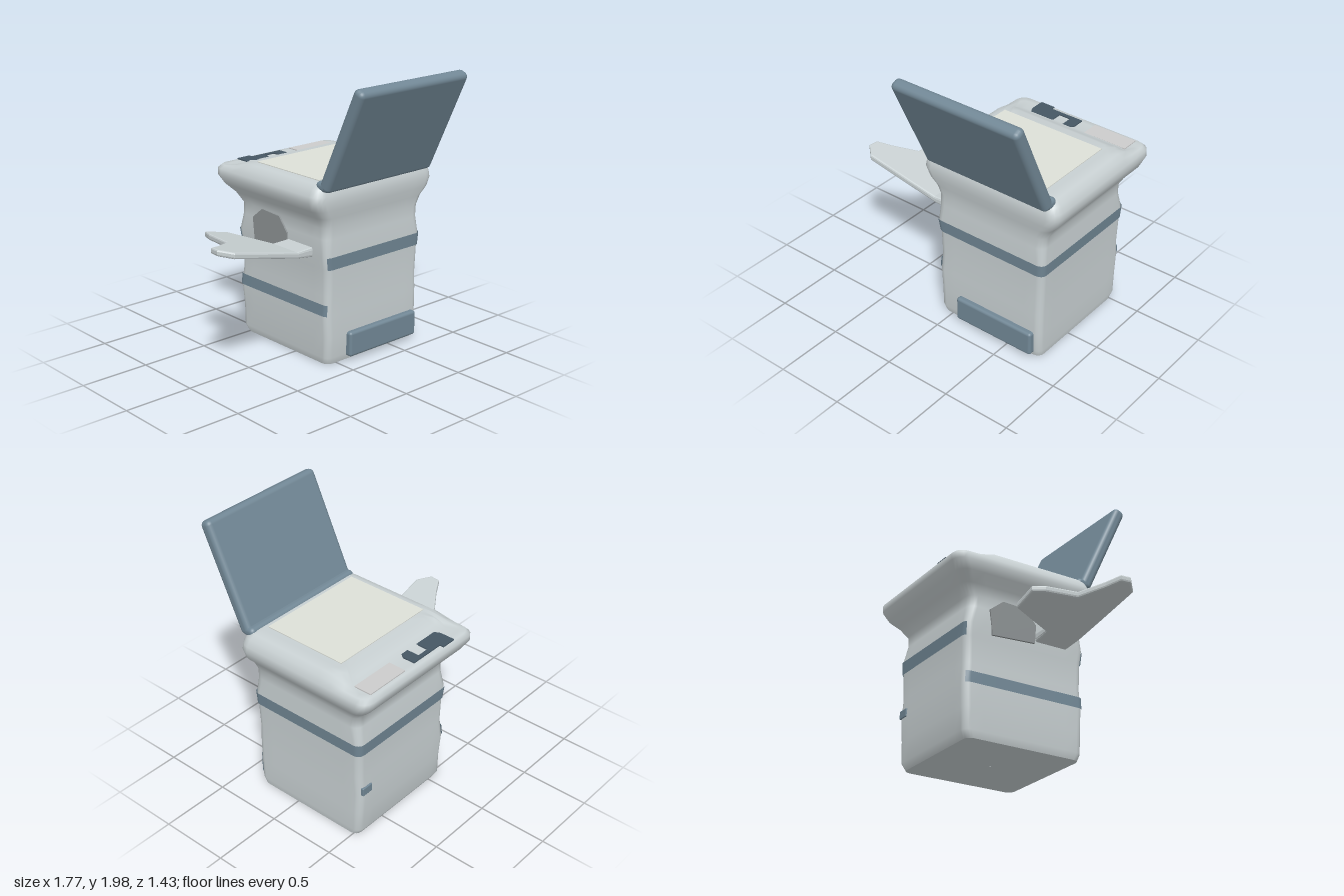
import * as THREE from 'three';
import { RoundedBoxGeometry } from 'three/addons/geometries/RoundedBoxGeometry.js';

const BODY = 0xc8d0d2, BLUE = 0x718795, DARK = 0x465764;
const mat = (color) => new THREE.MeshStandardMaterial({ color, side: THREE.DoubleSide });

// Rounded rectangle in xz with points along its sides; starts at the +x +z corner.
const CORNER = 5, SIDE = 8, STEP = CORNER + SIDE, COUNT = STEP * 4;
function ring(x0, x1, z0, z1, r) {
  const arc = [];
  [[x1 - r, z1 - r], [x0 + r, z1 - r], [x0 + r, z0 + r], [x1 - r, z0 + r]].forEach(([cx, cz], k) => {
    for (let i = 0; i < CORNER; i++) {
      const a = (k + i / (CORNER - 1)) * Math.PI / 2;
      arc.push([cx + r * Math.cos(a), cz + r * Math.sin(a)]);
    }
  });
  const pts = [];
  arc.forEach((p, i) => {
    pts.push(p);
    if (i % CORNER !== CORNER - 1) return;
    const q = arc[(i + 1) % arc.length];
    for (let s = 1; s <= SIDE; s++) {
      const t = s / (SIDE + 1);
      pts.push([p[0] + (q[0] - p[0]) * t, p[1] + (q[1] - p[1]) * t]);
    }
  });
  return pts;
}

// Skin over levels [y, x0, x1, z0, z1, r]; from/span pick an open part of each ring.
function loft(levels, { from = 0, span = COUNT, shape = (x, y) => y } = {}) {
  const pos = [], idx = [], closed = span === COUNT;
  const n = closed ? COUNT : span + 1;
  for (const [y, x0, x1, z0, z1, r] of levels) {
    const pts = ring(x0, x1, z0, z1, r);
    for (let i = 0; i < n; i++) {
      const [x, z] = pts[(from + i) % COUNT];
      pos.push(x, shape(x, y, z), z);
    }
  }
  for (let j = 0; j < levels.length - 1; j++) {
    for (let i = 0; i < span; i++) {
      const a = j * n + i, b = j * n + (i + 1) % n;
      idx.push(a, a + n, b, b, a + n, b + n);
    }
  }
  const g = new THREE.BufferGeometry();
  g.setAttribute('position', new THREE.Float32BufferAttribute(pos, 3));
  g.setIndex(idx);
  g.computeVertexNormals();
  return g;
}

// Thin polygon plate in its own xy plane.
function plate(points, depth, bevel = 0) {
  const shape = new THREE.Shape(points.map(([x, y]) => new THREE.Vector2(x, y)));
  return new THREE.ExtrudeGeometry(shape, {
    depth, bevelEnabled: bevel > 0, bevelSize: bevel, bevelThickness: bevel, bevelSegments: 2,
  });
}
const rect = (x0, x1, y0, y1) => [[x0, y0], [x1, y0], [x1, y1], [x0, y1]];

export function createModel() {
  const model = new THREE.Group();
  const add = (name, geometry, color) => {
    const mesh = new THREE.Mesh(geometry, mat(color));
    mesh.name = name;
    model.add(mesh);
    return mesh;
  };
  const roundedBox = (name, color, x0, x1, y0, y1, z0, z1, r) => {
    const mesh = add(name, new RoundedBoxGeometry(x1 - x0, y1 - y0, z1 - z0, 3, r), color);
    mesh.position.set((x0 + x1) / 2, (y0 + y1) / 2, (z0 + z1) / 2);
    return mesh;
  };
  const flat = (name, points, y, color) => {
    const mesh = add(name, plate(points, 0.01).rotateX(Math.PI / 2), color);
    mesh.position.y = y;
  };

  // Cabinet with flared rim; the rear of the top drops to a lower ledge
  const ledge = (x, y, z) =>
    y < 1.24 ? y : y - (y - 1.24) * THREE.MathUtils.smoothstep(-z, 0.44, 0.54);
  add('cabinet', loft([
    [0, 0.33, 0.34, -0.11, -0.1, 0.002],
    [0, -0.08, 0.76, -0.53, 0.33, 0.05],
    [0, -0.08, 0.76, -0.53, 0.33, 0.05],
    [0.05, -0.095, 0.77, -0.56, 0.345, 0.05],
    [0.2, -0.095, 0.77, -0.565, 0.35, 0.05],
    [0.36, -0.105, 0.77, -0.575, 0.35, 0.05],
    [0.5, -0.095, 0.77, -0.565, 0.345, 0.05],
    [0.69, -0.1, 0.775, -0.57, 0.35, 0.05],
    [0.78, -0.115, 0.78, -0.575, 0.355, 0.05],
    [0.9, -0.11, 0.77, -0.55, 0.345, 0.06],
    [0.98, -0.11, 0.775, -0.55, 0.345, 0.06],
    [1.05, -0.14, 0.81, -0.61, 0.355, 0.07],
    [1.11, -0.195, 0.865, -0.67, 0.37, 0.08],
    [1.17, -0.222, 0.885, -0.71, 0.375, 0.08],
    [1.215, -0.215, 0.88, -0.715, 0.37, 0.08],
    [1.26, -0.19, 0.855, -0.69, 0.355, 0.07],
    [1.29, -0.155, 0.82, -0.65, 0.335, 0.06],
    [1.297, -0.12, 0.78, -0.56, 0.31, 0.05],
    [1.297, -0.09, 0.75, -0.5, 0.28, 0.04],
    [1.297, -0.05, 0.71, -0.43, 0.24, 0.03],
    [1.297, 0.33, 0.34, -0.11, -0.1, 0.002],
  ], { shape: ledge }), BODY);

  // Painted bands: one around back, +x side and front, a lower one on the -x side
  const half = Math.floor(CORNER / 2);
  add('upperBand', loft([
    [0.69, -0.105, 0.78, -0.575, 0.355, 0.05],
    [0.78, -0.12, 0.785, -0.58, 0.36, 0.05],
  ], { from: STEP * 2 + half, span: STEP * 3 }), BLUE);
  add('lowerBand', loft([
    [0.36, -0.11, 0.775, -0.58, 0.355, 0.05],
    [0.44, -0.105, 0.775, -0.575, 0.355, 0.05],
  ], { from: STEP + half, span: STEP }), BLUE);
  roundedBox('rearPatch', BLUE, 0.66, 0.75, 0.36, 0.42, -0.582, -0.54, 0.005);

  // Kick panel low on the front
  roundedBox('kickPanel', BLUE, 0.08, 0.72, 0.03, 0.21, 0.31, 0.39, 0.02);

  // Raised lid and its hinge
  const lid = roundedBox('lid', BLUE, -0.16, 0.83, 1.215, 2.005, 0.47, 0.56, 0.035);
  lid.rotation.x = 0.435;
  roundedBox('hinge', BLUE, -0.16, 0.83, 1.245, 1.315, 0.285, 0.385, 0.03);

  // Light top panel and markings on the rear ledge
  flat('topPanel', rect(-0.1, 0.71, -0.37, 0.26), 1.302, 0xdde0d8);
  flat('controlMark', [
    [-0.02, -0.69], [0.09, -0.69], [0.09, -0.66], [0.35, -0.66], [0.35, -0.57], [0.33, -0.54], [0.27, -0.54],
    [0.27, -0.63], [0.18, -0.63], [0.18, -0.54], [0, -0.54], [-0.02, -0.58],
  ], 1.248, DARK);
  flat('controlPanel', rect(0.45, 0.78, -0.67, -0.54), 1.247, 0xc8c5c6);

  // Dark opening in the side beside the flap
  const opening = plate([
    [-0.38, 0.72], [-0.05, 0.74], [-0.04, 0.87], [-0.12, 0.97], [-0.3, 0.98], [-0.4, 0.9],
  ], 0.015).rotateY(-Math.PI / 2);
  add('sideOpening', opening, 0x8d9294).position.x = -0.107;

  // Side flap, rising away from the cabinet
  const flap = plate([
    [-0.08, -0.03], [-0.25, -0.03], [-0.31, -0.17], [-0.39, -0.35], [-0.56, -0.355], [-0.59, -0.28], [-0.62, -0.05],
    [-0.78, 0.06], [-0.87, 0.11], [-0.875, 0.17], [-0.8, 0.24], [-0.5, 0.225], [-0.25, 0.21], [-0.08, 0.2],
  ], 0.02, 0.012).rotateX(Math.PI / 2);
  const p = flap.attributes.position;
  for (let i = 0; i < p.count; i++) {
    const rise = Math.max(0, -0.2 - p.getX(i));
    const root = Math.max(0, p.getX(i) + 0.25) * 4;
    p.setY(i, (p.getY(i) + 0.01) * (1 + root) + 0.79 + rise * 0.24);
  }
  flap.computeVertexNormals();
  add('sideFlap', flap, BODY);

  return model;
}
